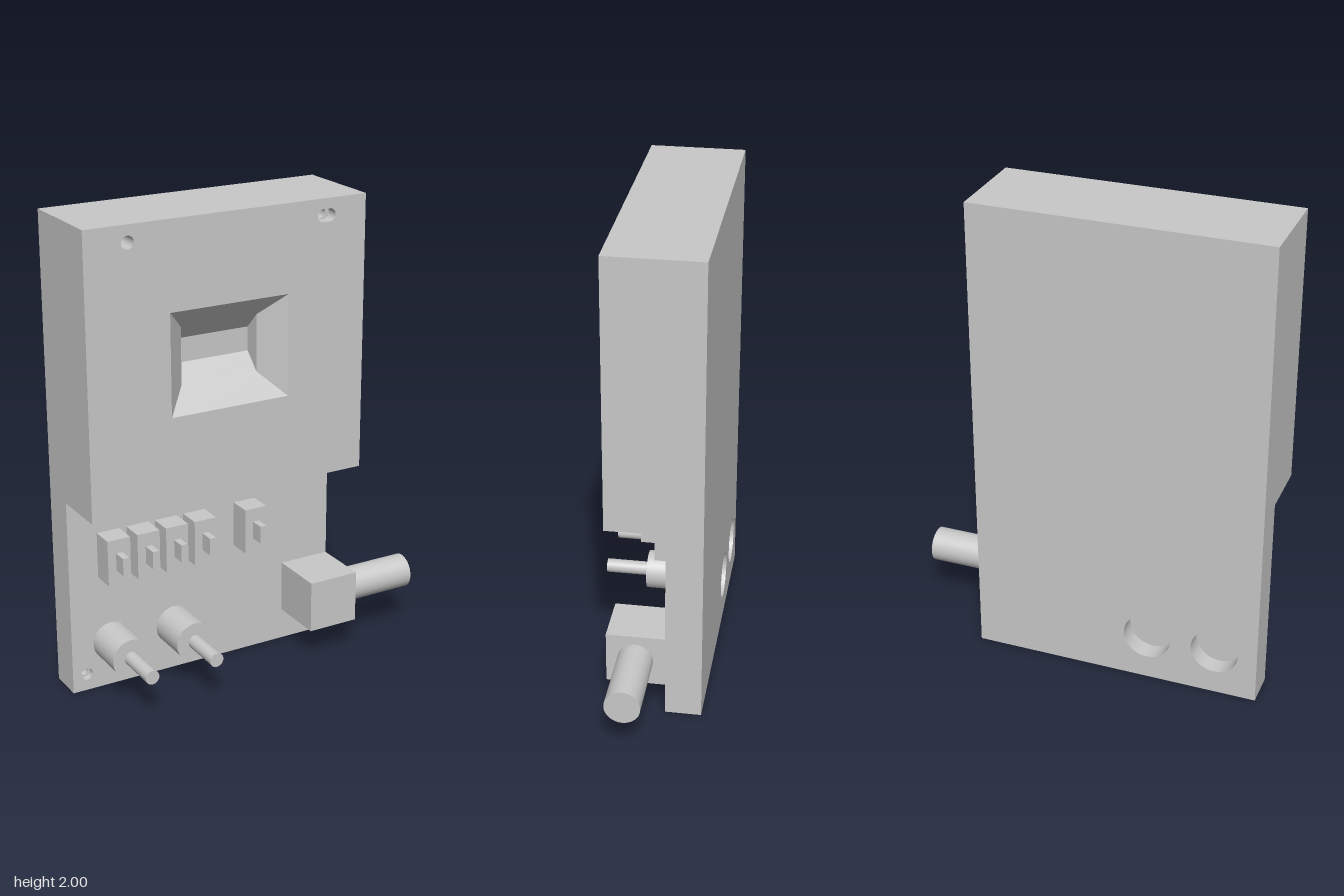
import * as THREE from 'three';

const grey = new THREE.MeshStandardMaterial({ color: 0xc8c8c8 });
grey.name = 'light grey';

const LEFT = -0.77, RIGHT = 0.45;
const BACK = -0.26, CORE = -0.18, PANEL = -0.11, FACE = 0.135;

function rectPoints(x0, x1, y0, y1) {
  return [[x0, y0], [x1, y0], [x1, y1], [x0, y1]].map(([x, y]) => new THREE.Vector2(x, y));
}

function circle(x, y, r) {
  return new THREE.Path().absarc(x, y, r, 0, Math.PI * 2, true);
}

function slotPoints(x, y, r, half) {
  const path = new THREE.Path();
  path.absarc(x + half, y, r, -Math.PI / 2, Math.PI / 2, false);
  path.absarc(x - half, y, r, Math.PI / 2, Math.PI * 1.5, false);
  return path.getPoints(16);
}

// Layer of the housing between two depths, with holes cut along z
function slab(outline, holes, z0, z1) {
  const shape = new THREE.Shape(outline);
  shape.holes = holes;
  const geo = new THREE.ExtrudeGeometry(shape, { depth: z1 - z0, bevelEnabled: false, curveSegments: 32 });
  return geo.translate(0, 0, z0);
}

// Inward-facing funnel through rectangular rings [x0, x1, y0, y1, z], closed at the end
function funnel(rings) {
  const pos = [];
  const loops = rings.map(([x0, x1, y0, y1, z]) => rectPoints(x0, x1, y0, y1).map((p) => [p.x, p.y, z]));
  const quad = (a, b, c, d) => pos.push(...a, ...b, ...c, ...a, ...c, ...d);
  for (let k = 0; k + 1 < loops.length; k++) {
    for (let i = 0; i < 4; i++) {
      const j = (i + 1) % 4;
      quad(loops[k][i], loops[k][j], loops[k + 1][j], loops[k + 1][i]);
    }
  }
  quad(...loops[loops.length - 1]);
  const geo = new THREE.BufferGeometry();
  geo.setAttribute('position', new THREE.Float32BufferAttribute(pos, 3));
  geo.computeVertexNormals();
  return geo;
}

function box(x0, x1, y0, y1, z0, z1) {
  return new THREE.BoxGeometry(x1 - x0, y1 - y0, z1 - z0)
    .translate((x0 + x1) / 2, (y0 + y1) / 2, (z0 + z1) / 2);
}

function rodZ(x, y, r, z0, z1) {
  return new THREE.CylinderGeometry(r, r, z1 - z0, 40)
    .rotateX(Math.PI / 2).translate(x, y, (z0 + z1) / 2);
}

export function createModel() {
  const model = new THREE.Group();
  const add = (name, geo, parent = model) => {
    const mesh = new THREE.Mesh(geo, grey);
    mesh.name = name;
    parent.add(mesh);
  };
  const knobs = [-0.59, -0.3], knobY = 0.2;
  const screws = [-0.708, 0.385], screwY = 0.072;

  // Back plate with a round pocket behind each knob
  const plate = rectPoints(LEFT, RIGHT, 0, 2);
  add('backPlate', slab(plate, knobs.map((x) => circle(x, knobY, 0.1)), BACK, CORE));

  // Control panel with stepped screw holes
  add('controlPanel', slab(plate, screws.map((x) => circle(x, screwY, 0.026)), CORE, PANEL));
  for (const x of screws) {
    const ring = new THREE.Shape().absarc(x, screwY, 0.026, 0, Math.PI * 2, false);
    add('screwHoleStep', slab(ring.getPoints(16), [circle(x, screwY, 0.018)], CORE, PANEL - 0.03));
  }

  // Thick upper housing with window opening, mounting hole and slot
  const opening = [-0.42, 0.1, 1.22, 1.64];
  add('upperHousing', slab(rectPoints(LEFT, RIGHT, 0.85, 2), [
    new THREE.Path(rectPoints(...opening)),
    circle(-0.59, 1.932, 0.026),
    new THREE.Path(slotPoints(0.27, 1.932, 0.026, 0.015)),
  ], PANEL, FACE));
  add('slotStep', slab(slotPoints(0.27, 1.932, 0.026, 0.015), [circle(0.27, 1.932, 0.023)], PANEL, FACE - 0.05));

  // Recessed window: all sides taper first, then only top and bottom
  add('windowRecess', funnel([
    [...opening, FACE],
    [-0.328, 0.008, 1.312, 1.548, FACE - 0.092],
    [-0.328, 0.008, 1.38, 1.48, FACE - 0.16],
  ]));

  // Slide switches
  for (const x of [-0.592, -0.46, -0.331, -0.2, 0.038]) {
    const sw = new THREE.Group();
    sw.name = 'slideSwitch';
    add('switchBody', box(x - 0.05, x + 0.05, 0.498, 0.693, PANEL, -0.01), sw);
    add('switchLever', box(x - 0.014, x + 0.014, 0.56, 0.635, -0.01, 0.053), sw);
    model.add(sw);
  }

  // Rotary controls
  for (const x of knobs) {
    const knob = new THREE.Group();
    knob.name = 'rotaryControl';
    add('controlBody', rodZ(x, knobY, 0.083, PANEL, 0.075), knob);
    add('controlShaft', rodZ(x, knobY, 0.03, 0.075, 0.26), knob);
    model.add(knob);
  }

  // Side connector
  add('connectorBlock', box(0.226, RIGHT, 0.137, 0.36, PANEL, 0.132));
  add('connectorPlug', new THREE.CylinderGeometry(0.073, 0.073, 0.32, 40)
    .rotateZ(Math.PI / 2).translate(RIGHT + 0.16, 0.249, 0.012));

  return model;
}
